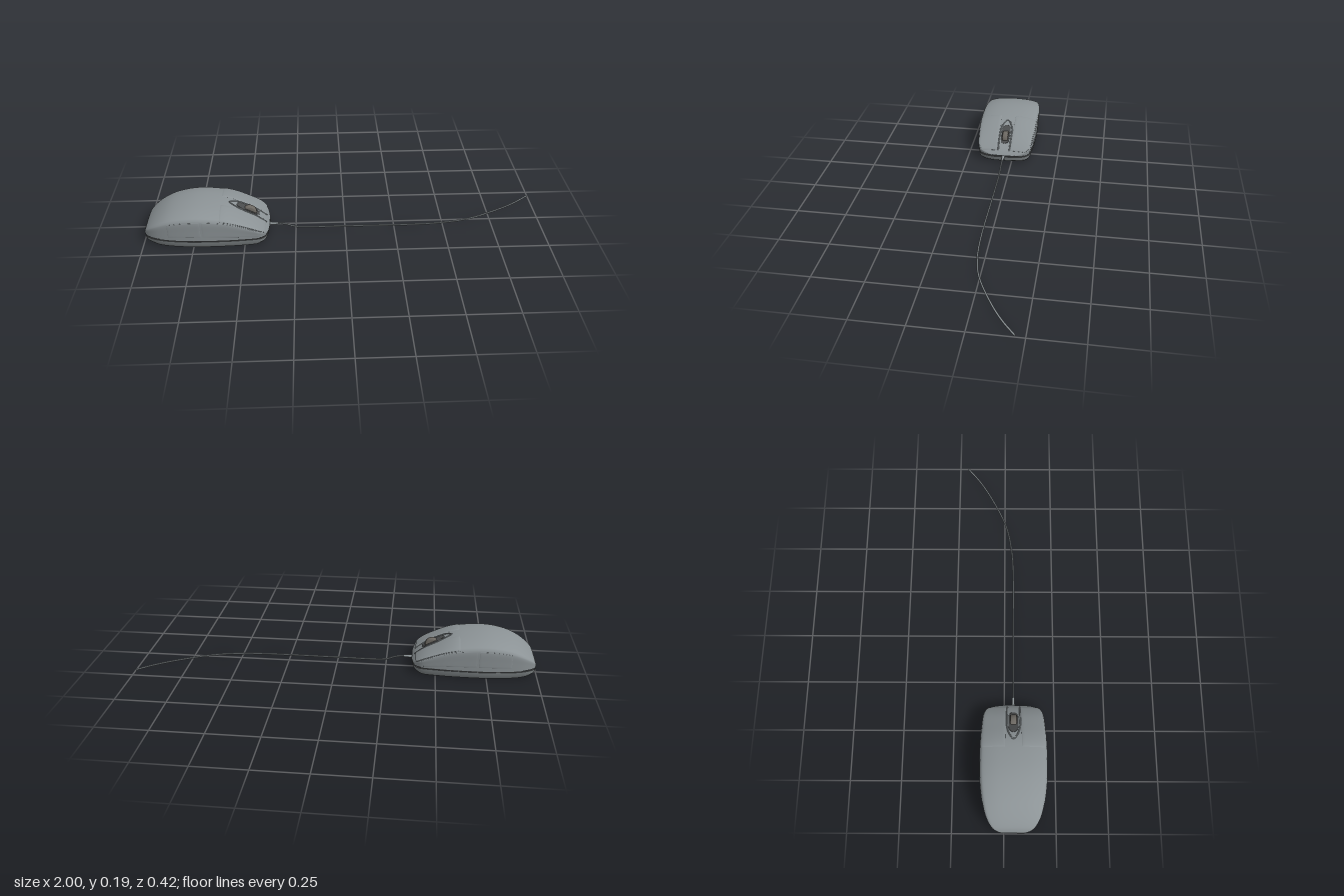
import * as THREE from 'three';
import { toCreasedNormals } from 'three/addons/utils/BufferGeometryUtils.js';

const CZ = 0.045; // middle of the mouse across z
const Y0 = 0.044; // lower edge of the shell

// Length stations: x, crown height, half width
const spine = new THREE.CatmullRomCurve3([
  [-1, 0.046, 0.055], [-0.995, 0.062, 0.075], [-0.98, 0.09, 0.1], [-0.935, 0.13, 0.128],
  [-0.87, 0.166, 0.146], [-0.79, 0.186, 0.157], [-0.71, 0.19, 0.161], [-0.6, 0.176, 0.16],
  [-0.55, 0.16, 0.158], [-0.5, 0.136, 0.154], [-0.45, 0.109, 0.149], [-0.42, 0.088, 0.142],
  [-0.4, 0.071, 0.125], [-0.387, 0.056, 0.09], [-0.38, 0.046, 0.05],
].map((p) => new THREE.Vector3(...p)));

// Cross-section from one lower edge over the crown to the other
const half = [[0.965, 0], [0.985, 0.35], [1, 0.66], [0.97, 0.8], [0.86, 0.885], [0.5, 0.97]];
const section = new THREE.SplineCurve([
  ...half.map(([w, h]) => new THREE.Vector2(-w, h)),
  new THREE.Vector2(0, 1),
  ...half.slice().reverse().map(([w, h]) => new THREE.Vector2(w, h)),
]);

function solve(f, target, lo = 0, hi = 1) {
  for (let i = 0; i < 30; i++) {
    const m = (lo + hi) / 2;
    if (f(m) < target) lo = m; else hi = m;
  }
  return lo;
}
const uAt = (x) => solve((u) => spine.getPoint(u).x, x);

function onShell(u, v) {
  const s = spine.getPoint(u), c = section.getPoint(v);
  return new THREE.Vector3(s.x, Y0 + c.y * (s.y - Y0), CZ + c.x * s.z);
}

// Point on the shell pushed out along its normal
function lifted(u, v, lift) {
  const e = 0.002, p = onShell(u, v);
  if (!lift) return p;
  const du = onShell(Math.min(1, u + e), v).sub(onShell(Math.max(0, u - e), v));
  const dv = onShell(u, Math.min(1, v + e)).sub(onShell(u, Math.max(0, v - e)));
  return p.addScaledVector(dv.cross(du).normalize(), lift);
}

function grid(rows, cols, at) {
  const pos = [], idx = [];
  for (let i = 0; i <= rows; i++) for (let j = 0; j <= cols; j++) pos.push(...at(i, j).toArray());
  for (let i = 0; i < rows; i++) for (let j = 0; j < cols; j++) {
    const a = i * (cols + 1) + j, c = a + cols + 1;
    idx.push(a, a + 1, c, a + 1, c + 1, c);
  }
  const g = new THREE.BufferGeometry();
  g.setAttribute('position', new THREE.Float32BufferAttribute(pos, 3));
  g.setIndex(idx);
  g.computeVertexNormals();
  return g;
}

// Raised panel following the shell, with a steep bevelled border
function panel(x0, x1, v0, v1, lift, oval = false) {
  const n = 18, u0 = uAt(x0), u1 = uAt(x1);
  const step = (i) => (i === 0 ? 0 : i === n ? 1 : 0.015 + 0.97 * (i - 1) / (n - 2));
  return grid(n, n, (i, j) => {
    const s = step(i), t = step(j);
    const k = oval ? Math.sqrt(Math.max(0.01, 1 - (2 * s - 1) ** 4)) : 1;
    const v = (v0 + v1) / 2 + (t - 0.5) * (v1 - v0) * k;
    const edge = i === 0 || j === 0 || i === n || j === n;
    return lifted(u0 + (u1 - u0) * s, v, edge ? 0 : lift);
  });
}

export function createModel() {
  const model = new THREE.Group();
  const mat = (color) => new THREE.MeshStandardMaterial({ color, side: THREE.DoubleSide });
  const grey = mat(0x8c9396), baseGrey = mat(0x7c8284), dark = mat(0x4a4c4d), wheelMat = mat(0x6c6862);
  const add = (name, geo, m, parent = model) => {
    const mesh = new THREE.Mesh(geo, m);
    mesh.name = name;
    parent.add(mesh);
    return mesh;
  };

  // Upper shell
  add('shell', grid(112, 60, (i, j) => onShell(i / 112, j / 60)), grey);

  // Base tray: plan outline swept through scaled rings
  const N = 56;
  const outline = [];
  for (const side of [1, -1]) for (let i = 0; i <= N; i++) {
    const s = spine.getPoint(side > 0 ? i / N : 1 - i / N);
    outline.push([s.x, side * s.z * 0.97]);
  }
  outline.push(outline[0]);
  const rings = [[0.002, 0], [0.002, 0.93], [0.018, 0.985], [0.038, 1], [0.038, 0.97], [0.05, 0.965]];
  const tray = (part) => toCreasedNormals(grid(part.length - 1, outline.length - 1, (i, j) => {
    const [y, k] = part[i], [x, z] = outline[j];
    return new THREE.Vector3(-0.69 + (x + 0.69) * k, y, CZ + z * k);
  }), 0.5);
  add('base', tray(rings.slice(0, 4)), baseGrey);
  add('baseGroove', tray(rings.slice(3)), dark);

  // Buttons and side grips, mirrored across the middle
  for (const side of ['left', 'right']) {
    const m = (a, b) => (side === 'left' ? [a, b] : [1 - b, 1 - a]);
    add(side + 'Button', panel(-0.615, -0.398, ...m(0.24, 0.46), 0.0025), grey);
    add(side + 'RearGrip', panel(-0.87, -0.71, ...m(0.04, 0.2), 0.001), grey);
    add(side + 'FrontGrip', panel(-0.7, -0.43, ...m(0.04, 0.215), 0.001), grey);
  }

  // Wheel slot and arched rim
  add('wheelSlot', panel(-0.54, -0.43, 0.474, 0.526, 0.002, true), dark);
  const rimPts = [[-0.395, 0.031], [-0.45, 0.032], [-0.51, 0.031], [-0.55, 0.02]];
  const rimPath = [...rimPts, [-0.575, 0], ...rimPts.slice().reverse().map(([x, z]) => [x, -z])]
    .map(([x, z]) => {
      const u = uAt(x), w = spine.getPoint(u).z;
      return lifted(u, solve((v) => section.getPoint(v).x * w, z, 0.25, 0.75), 0.001);
    });
  add('wheelRim', new THREE.TubeGeometry(new THREE.CatmullRomCurve3(rimPath), 64, 0.0035, 8), grey);

  // Scroll wheel with rounded tread
  const r = 0.037, hw = 0.016;
  const profile = [[0, -hw], [r - 0.005, -hw], [r - 0.001, -hw + 0.004], [r, 0],
    [r - 0.001, hw - 0.004], [r - 0.005, hw], [0, hw]].map(([a, b]) => new THREE.Vector2(a, b));
  const wheel = add('scrollWheel', new THREE.LatheGeometry(profile, 40), wheelMat);
  wheel.rotation.x = Math.PI / 2;
  wheel.position.set(-0.48, 0.107, CZ);

  // Cable and its strain relief
  const path = (pts) => new THREE.CatmullRomCurve3(pts.map((p) => new THREE.Vector3(...p)));
  const cable = path([[-0.4, 0.036, CZ], [-0.34, 0.035, CZ], [-0.3, 0.03, CZ], [-0.255, 0.014, CZ],
    [-0.22, 0.009, CZ], [0, 0.009, CZ], [0.36, 0.009, CZ], [0.5, 0.009, 0.035],
    [0.64, 0.009, 0.005], [0.82, 0.009, -0.08], [0.92, 0.009, -0.143], [0.997, 0.009, -0.205]]);
  add('cable', new THREE.TubeGeometry(cable, 160, 0.0045, 10), grey);
  const tip = add('cableEnd', new THREE.CircleGeometry(0.0045, 10), grey);
  tip.position.copy(cable.getPoint(1));
  tip.lookAt(cable.getPoint(1).add(cable.getTangent(1)));
  const relief = add('strainRelief', new THREE.CylinderGeometry(0.006, 0.009, 0.06, 16), grey);
  relief.rotation.z = -Math.PI / 2;
  relief.position.set(-0.37, 0.0355, CZ);

  return model;
}
